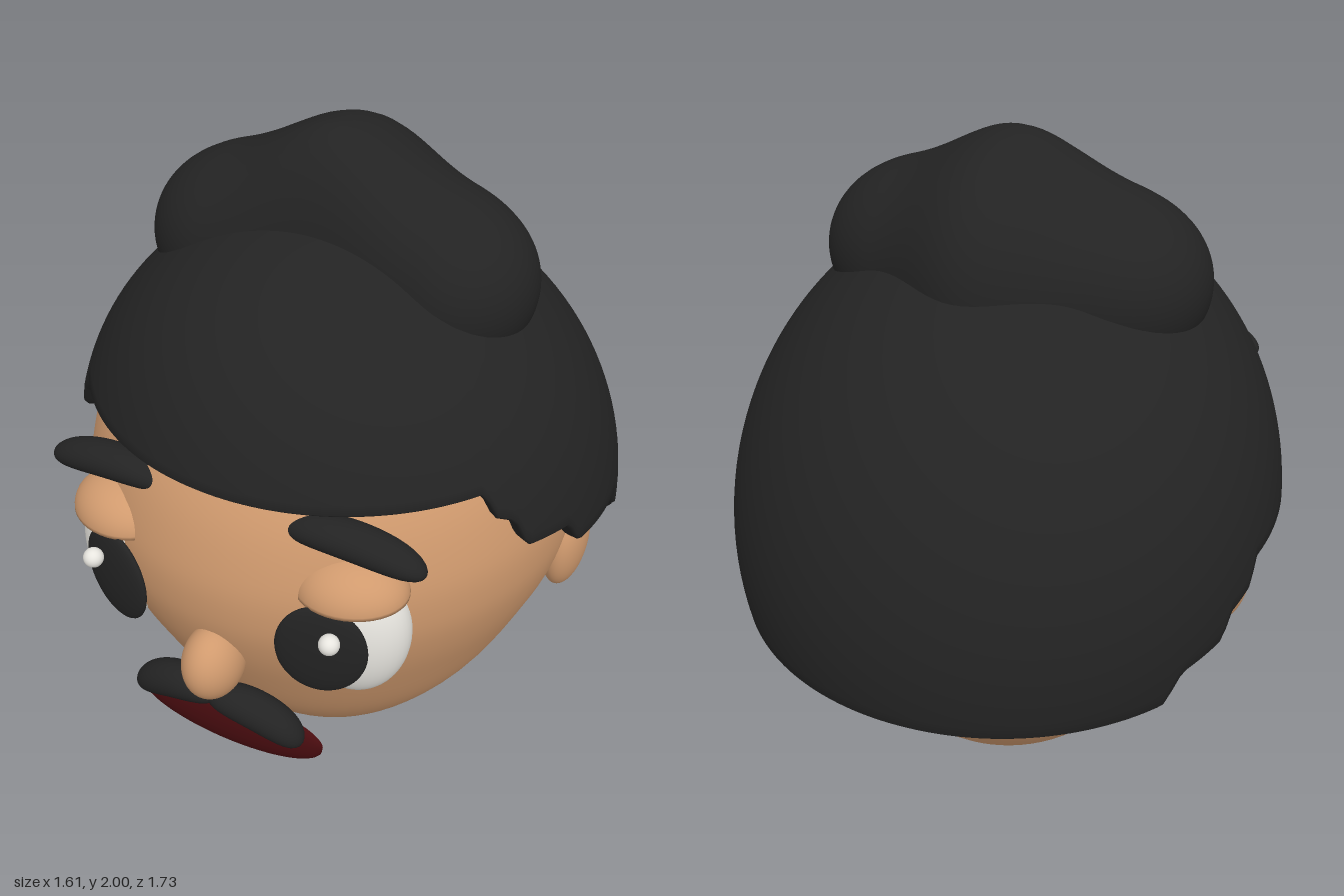
import * as THREE from 'three';
import { mergeVertices } from 'three/addons/utils/BufferGeometryUtils.js';

const mat = (name, color, side = THREE.FrontSide) => Object.assign(new THREE.MeshStandardMaterial({ color, side }), { name });

// Smooth surface from a rule: fn(u, v) gives a point, u and v run 0..1
function surface(nu, nv, fn) {
  const pos = [], idx = [];
  for (let j = 0; j <= nv; j++)
    for (let i = 0; i <= nu; i++) pos.push(...fn(i / nu, j / nv));
  for (let j = 0; j < nv; j++)
    for (let i = 0; i < nu; i++) {
      const a = j * (nu + 1) + i, b = a + nu + 1;
      idx.push(a, b, a + 1, a + 1, b, b + 1);
    }
  let g = new THREE.BufferGeometry();
  g.setAttribute('position', new THREE.Float32BufferAttribute(pos, 3));
  g.setIndex(idx);
  g = mergeVertices(g, 1e-5);
  g.computeVertexNormals();
  return g;
}

// Height of the hair's stepped lower edge, from front (z+) to back (z-)
const EDGE = [[0.40, 1.28], [0.38, 1.21], [0.33, 1.18], [0.30, 1.09], [0.15, 1.07], [0.11, 0.99], [-0.16, 0.97],
  [-0.20, 0.89], [-0.28, 0.86], [-0.31, 0.78], [-0.44, 0.75], [-0.48, 0.65]];
function edgeHeight(z) {
  if (z >= EDGE[0][0]) return EDGE[0][1];
  for (let i = 1; i < EDGE.length; i++) {
    const [z0, y0] = EDGE[i - 1], [z1, y1] = EDGE[i];
    if (z >= z1) return THREE.MathUtils.mapLinear(z, z0, z1, y0, y1);
  }
  return EDGE[EDGE.length - 1][1];
}

// Tilted dome, cut at the stepped edge, with a rim that turns inward
function hairGeometry() {
  const R = 0.81, H = 0.87, rows = 40, rim = [[0.985, -0.012], [0.95, -0.012], [0.9, 0.01], [0.82, 0.06]];
  const total = rows + rim.length;
  return surface(240, total, (u, v) => {
    const a = u * Math.PI * 2, tilt = 0.125 * Math.cos(a), row = Math.round(v * total);
    const e = edgeHeight(-0.06 + 0.77 * Math.cos(a));
    const end = Math.atan2(tilt, H) + Math.acos((e - 0.9) / Math.hypot(H, tilt));
    const th = end * Math.min(1, row / rows);
    const [k, dy] = row > rows ? rim[row - rows - 1] : [1, 0];
    const r = R * Math.sin(th) * k;
    const y = 0.9 + H * Math.cos(th) + tilt * Math.sin(th) + dy;
    return [r * Math.sin(a), y, -0.06 + r * Math.cos(a)];
  });
}

// Sideways capsule that swells upward and backward in the middle
function bunGeometry() {
  return surface(48, 64, (u, v) => {
    const b = u * Math.PI * 2, x = -0.56 * Math.cos(v * Math.PI);
    const over = Math.max(0, Math.abs(x) - 0.32), r = Math.sqrt(Math.max(0, 0.0576 - over * over));
    const w = Math.exp(-((x / 0.25) ** 2)), c = Math.cos(b), s = -Math.sin(b);
    const y = 1.62 + c * r * 0.95 + 0.155 * w * Math.max(0, c);
    const z = 0.005 + s * r + w * (s < 0 ? 0.15 * s : -0.03 * s);
    return [x, y, z];
  });
}

export function createModel() {
  const group = new THREE.Group();
  group.name = 'head';
  const skin = mat('skin', 0xd09a6e), dark = mat('black hair', 0x232323);
  const white = mat('eye white', 0xe8e6e0), red = mat('dark red', 0x480c0f);

  const add = (name, geo, material, p = [0, 0, 0], s = [1, 1, 1], r = [0, 0, 0]) => {
    const m = new THREE.Mesh(geo, material);
    m.name = name;
    m.position.set(...p);
    m.scale.set(...s);
    m.rotation.set(...r);
    group.add(m);
  };
  const ball = new THREE.SphereGeometry(1, 40, 28);
  // Mirrored pair of parts, described for the left (+x) side
  const pair = (name, geo, material, [x, y, z], s, [rx, ry, rz] = [0, 0, 0]) => {
    add('left' + name, geo, material, [x, y, z], s, [rx, ry, rz]);
    add('right' + name, geo, material, [-x, y, z], s, [rx, -ry, -rz]);
  };

  // Egg-shaped face, a little narrower than deep
  const profile = new THREE.SplineCurve([[0, 0.005], [0.15, 0.03], [0.28, 0.095], [0.41, 0.205], [0.57, 0.41], [0.69, 0.64],
    [0.753, 0.8], [0.778, 0.93], [0.77, 1.07], [0.71, 1.25], [0.58, 1.42], [0.35, 1.56], [0, 1.62]]
    .map(([x, y]) => new THREE.Vector2(x, y)));
  const pts = profile.getPoints(60);
  pts.forEach(p => { p.x = Math.max(0, p.x); });
  add('face', new THREE.LatheGeometry(pts, 72), skin, [0, 0, 0], [0.93, 1, 1]);

  // Hair
  add('hair', hairGeometry(), dark);
  add('hairBun', bunGeometry(), dark);

  // Ears and nose
  pair('Ear', ball, skin, [0.705, 0.82, -0.06], [0.06, 0.155, 0.103], [0, 0, -0.06]);
  add('nose', ball, skin, [0, 0.742, 0.76], [0.083, 0.113, 0.105]);

  // Eyes
  pair('Eye', ball, white, [0.355, 0.905, 0.62], [0.152, 0.215, 0.1], [0, 0.3, 0]);
  pair('Pupil', ball, dark, [0.316, 0.905, 0.735], [0.123, 0.148, 0.026], [0, 0.3, 0]);
  pair('EyeHighlight', ball, white, [0.359, 0.975, 0.772], [0.028, 0.028, 0.028]);

  // Upper eyelids: half domes closed underneath
  const lid = new THREE.LatheGeometry([new THREE.Vector2(0, 0),
    ...Array.from({ length: 17 }, (_, i) => new THREE.Vector2(Math.cos(i * Math.PI / 32), Math.sin(i * Math.PI / 32)))], 40);
  pair('Eyelid', lid, skin, [0.352, 1.045, 0.63], [0.15, 0.108, 0.12], [0, 0.3, 0]);

  // Eyebrows and moustache: plump tapered shapes, gently arched
  const arch = ball.clone(), ap = arch.attributes.position;
  for (let i = 0; i < ap.count; i++) {
    const x = ap.getX(i);
    const fat = 1 + 0.25 * x * x;
    ap.setY(i, ap.getY(i) * fat + 0.25 - 0.5 * x * x);
    ap.setZ(i, ap.getZ(i) * fat);
  }
  arch.computeVertexNormals();
  pair('Eyebrow', arch, dark, [0.363, 1.207, 0.643], [0.196, 0.048, 0.057], [0, 0.06, -0.1]);
  pair('Moustache', arch, dark, [0.13, 0.597, 0.765], [0.148, 0.054, 0.055], [0, 0.1, -0.32]);

  // Mouth: thin shell, domed in front and hollow behind
  const lips = ball.clone(), lp = lips.attributes.position;
  for (let i = 0; i < lp.count; i++) {
    const y = lp.getY(i), z = lp.getZ(i);
    lp.setX(i, lp.getX(i) * (1 + 0.12 * Math.max(0, y)));
    if (z < 0) lp.setZ(i, -z * 0.6);
  }
  lips.computeVertexNormals();
  add('mouth', lips, red, [0, 0.472, 0.703], [0.298, 0.103, 0.043]);

  return group;
}
